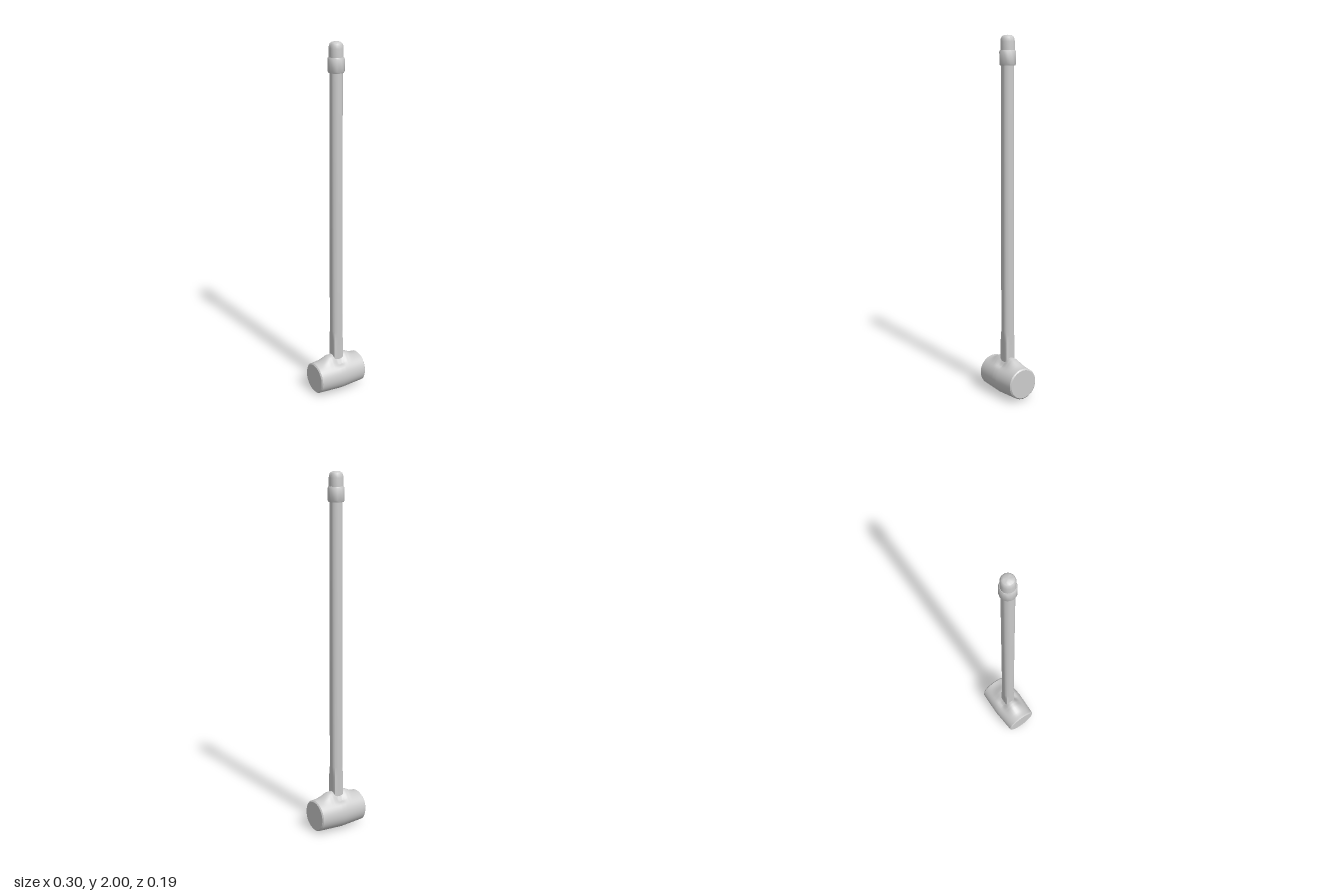
import * as THREE from 'three';
import { toCreasedNormals } from 'three/addons/utils/BufferGeometryUtils.js';

const material = new THREE.MeshStandardMaterial({ color: 0xcccccc });
const HEAD_Y = 0.097;

// Skins closed rings of points, capping both ends
function loft(rings) {
  const n = rings[0].length, points = rings.flat(), index = [];
  for (let i = 0; i < rings.length - 1; i++) {
    for (let j = 0; j < n; j++) {
      const a = i * n + j, b = i * n + (j + 1) % n;
      index.push(a, b, a + n, b, b + n, a + n);
    }
  }
  const last = (rings.length - 1) * n;
  for (const [start, isEnd] of [[0, false], [last, true]]) {
    const centre = new THREE.Vector3();
    for (let j = 0; j < n; j++) centre.addScaledVector(points[start + j], 1 / n);
    const c = points.push(centre) - 1;
    for (let j = 0; j < n; j++) {
      const a = start + j, b = start + (j + 1) % n;
      index.push(c, isEnd ? a : b, isEnd ? b : a);
    }
  }
  const geometry = new THREE.BufferGeometry().setFromPoints(points);
  geometry.setIndex(index);
  return toCreasedNormals(geometry, Math.PI / 5);
}

function addPart(group, name, geometry) {
  const mesh = new THREE.Mesh(geometry, material);
  mesh.name = name;
  group.add(mesh);
}

// Barrel along x, with a raised ridge on top that is pinched beside the handle
function headGeometry() {
  const half = [0.01, 0.02, 0.03, 0.04, 0.05, 0.06, 0.075, 0.09, 0.105, 0.12, 0.132, 0.144, 0.15];
  const xs = [...half.map(x => -x).reverse(), 0, ...half];
  const sides = 48;
  return loft(xs.map(x => {
    const d = Math.abs(x);
    const r = d > 0.149 ? 0.081 : 0.096 - 0.008 * d / 0.144;
    const ridge = 0.027 * (1 - THREE.MathUtils.smoothstep(d, 0.045, 0.125));
    const pinch = 0.022 * Math.exp(-((d / 0.032) ** 2));
    return Array.from({ length: sides }, (_, j) => {
      const a = j / sides * Math.PI * 2;
      let y = r * Math.cos(a);
      const z = r * Math.sin(a);
      if (y > 0) {
        const w = 1 - THREE.MathUtils.smoothstep(Math.abs(z), 0.012, 0.062);
        y += ridge * w - pinch * Math.exp(-(((Math.abs(z) - 0.04) / 0.018) ** 2));
      }
      // Ring runs from +y towards -z... mirrored so the skin faces outwards
      return new THREE.Vector3(x, HEAD_Y + y, z);
    });
  }));
}

// Round shaft that becomes a squared tenon where it enters the head
function handleGeometry() {
  const sides = 24;
  const levels = [[0.12, 0.030, 0.040], [0.31, 0.030, 0.040], [0.37, 0.036, 0.036], [1.86, 0.035, 0.035]];
  return loft(levels.map(([y, flat, round]) => Array.from({ length: sides }, (_, j) => {
    const a = j / sides * Math.PI * 2;
    const c = Math.cos(a), s = Math.sin(a);
    const r = flat === round ? round : Math.min(round, flat / Math.max(Math.abs(c), Math.abs(s)));
    return new THREE.Vector3(r * c, y, -r * s);
  })));
}

function turned(profile) {
  const points = profile.map(([r, y]) => new THREE.Vector2(r, y));
  return toCreasedNormals(new THREE.LatheGeometry(points, 14), Math.PI / 5);
}

export function createModel() {
  const model = new THREE.Group();
  model.name = 'sledgehammer';
  addPart(model, 'head', headGeometry());
  addPart(model, 'handle', handleGeometry());
  // Grip collar and rounded end cap
  addPart(model, 'collar', turned([
    [0, 1.84], [0.041, 1.84], [0.045, 1.848], [0.045, 1.912], [0.041, 1.92], [0, 1.92],
  ]));
  addPart(model, 'endCap', turned([
    [0.039, 1.9], [0.039, 1.965], [0.037, 1.98], [0.032, 1.991], [0.021, 1.998], [0, 2],
  ]));
  return model;
}
